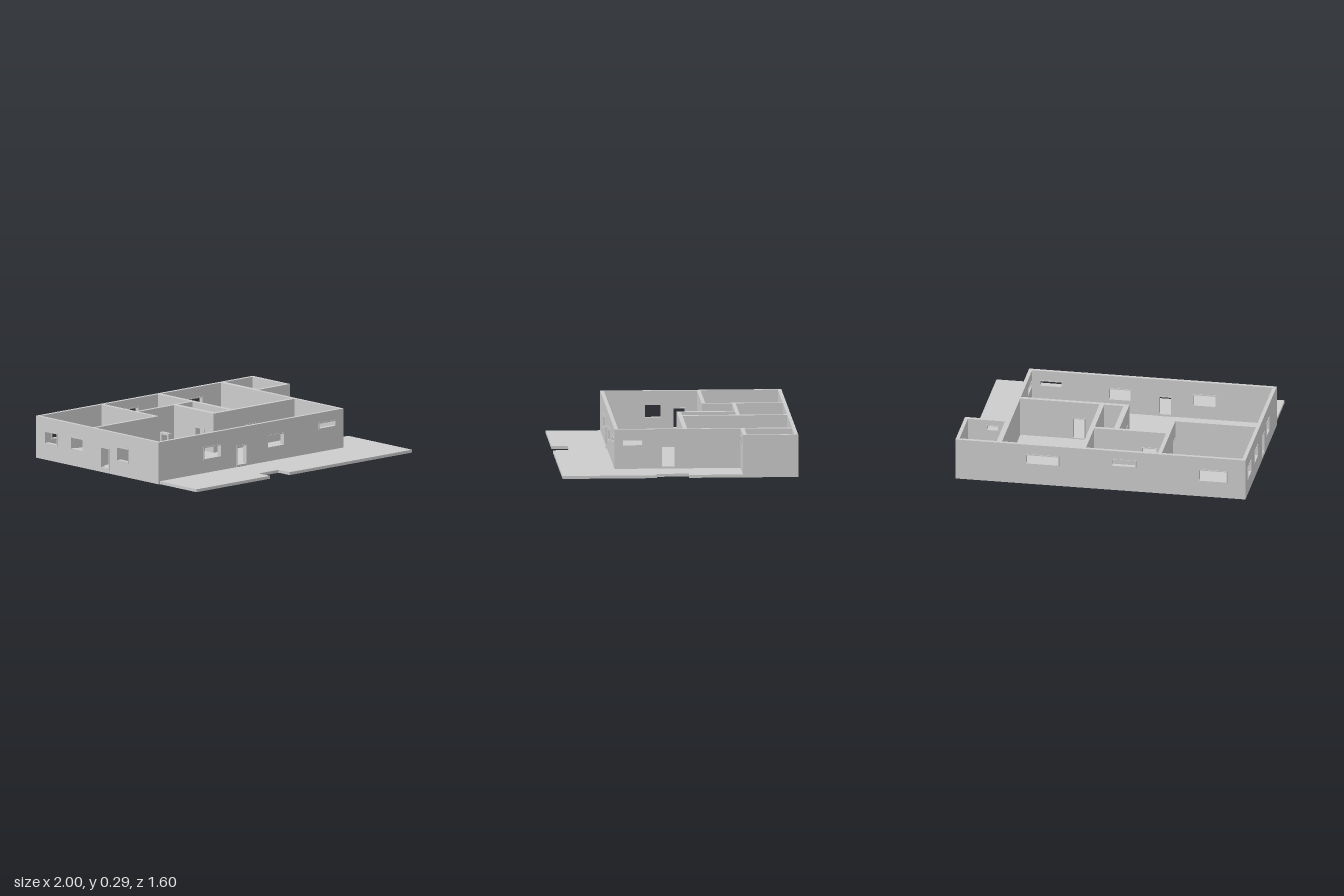
import * as THREE from 'three';

const FLOOR = 0.02, TOP = 0.29, T = 0.025;

export function createModel() {
  const model = new THREE.Group();
  const mat = new THREE.MeshStandardMaterial({ color: 0xcccccc, flatShading: true });

  const rect = (Kind, a, b, y0, y1) => {
    const r = new Kind();
    r.moveTo(a, y0); r.lineTo(b, y0); r.lineTo(b, y1); r.lineTo(a, y1); r.closePath();
    return r;
  };
  const extrude = (shape, depth) =>
    new THREE.ExtrudeGeometry(shape, { depth, bevelEnabled: false });
  const add = (parent, name, geo) => {
    const m = new THREE.Mesh(geo, mat);
    m.name = name;
    parent.add(m);
    return m;
  };

  // Frame ring around one opening, standing slightly proud of both wall faces
  function frame(parent, name, [a, b, y0, y1], depth) {
    const w = 0.007, out = 0.004;
    const ring = rect(THREE.Shape, a, b, y0, y1);
    ring.holes.push(rect(THREE.Path, a + w, b - w, y0 + w, y1 - w));
    add(parent, name, extrude(ring, depth + out * 2)).position.z = -out;
  }

  // Wall running along x or z from a to b; "at" is its lower edge on the other axis
  function wall(name, axis, a, b, at, openings = [], thick = T) {
    const g = new THREE.Group();
    g.name = name;
    const shape = rect(THREE.Shape, a, b, 0, TOP);
    for (const o of openings) {
      shape.holes.push(rect(THREE.Path, ...o));
      frame(g, o[2] <= FLOOR ? 'doorFrame' : 'windowFrame', o, thick);
    }
    add(g, 'wallPanel', extrude(shape, thick));
    if (axis === 'z') {
      g.rotation.y = -Math.PI / 2;
      g.position.x = at + thick;
    } else g.position.z = at;
    model.add(g);
  }
  const door = (a, b, h = 0.175) => [a, b, FLOOR, h];

  // Ground slab with a notch at the front and at the side
  const slab = new THREE.Shape([
    [-0.985, 0.798], [0.998, 0.798], [0.998, 0.06], [0.94, 0.06], [0.94, -0.16], [0.998, -0.16],
    [0.998, -0.8], [-0.13, -0.8], [-0.13, -0.69], [-0.31, -0.69], [-0.31, -0.8], [-0.985, -0.8],
  ].map(([x, y]) => new THREE.Vector2(x, y)));
  add(model, 'groundSlab', extrude(slab, FLOOR)).rotation.x = -Math.PI / 2;

  // Outer walls
  wall('frontWall', 'x', -0.996, 0.708, 0.405, [
    [-0.585, -0.42, 0.11, 0.2], door(-0.28, -0.185, 0.168),
    [0, 0.16, 0.11, 0.2], [0.475, 0.635, 0.175, 0.222],
  ]);
  wall('backWall', 'x', -0.996, 1, -0.8, [
    [-0.875, -0.67, 0.11, 0.2], [-0.245, -0.07, 0.175, 0.23], [0.285, 0.52, 0.145, 0.22],
  ]);
  wall('rightWall', 'z', -0.775, -0.055, -0.996, [
    [-0.71, -0.58, 0.11, 0.2], [-0.45, -0.32, 0.11, 0.2],
    [-0.15, -0.06, FLOOR, 0.175],
  ]);
  wall('rightWallFront', 'z', -0.055, 0.405, -0.996, [[0.012, 0.134, 0.1, 0.2]]);
  wall('leftWall', 'z', -0.43, 0.405, 0.683, [door(0.015, 0.115), [0.235, 0.38, 0.175, 0.222]]);

  // Side room at the back left corner
  wall('sideRoomInnerWall', 'z', -0.775, -0.43, 0.683, [], 0.037);
  wall('sideRoomFrontWall', 'x', 0.708, 1, -0.452, [[0.76, 0.85, 0.212, 0.256]], 0.027);
  wall('sideRoomOuterWall', 'z', -0.775, -0.452, 0.975);

  // Interior partitions
  wall('bedroomFrontWall', 'x', -0.971, -0.39, -0.25);
  wall('bedroomSideWall', 'z', -0.775, -0.25, -0.417, [door(-0.345, -0.26)], 0.027);
  wall('middleRoomWall', 'x', -0.39, 0.105, -0.455, [door(-0.33, -0.218)]);
  wall('centreWall', 'z', -0.775, -0.064, 0.105, [], 0.032);
  wall('closetSideWall', 'z', -0.43, -0.064, -0.064, [door(-0.22, -0.12)], 0.037);
  wall('largeRoomFrontWall', 'x', -0.064, 0.683, -0.064, [door(0.235, 0.325)], 0.029);

  // Door frame standing free in the hall
  const gate = rect(THREE.Shape, -0.187, -0.1, FLOOR, 0.19);
  gate.holes.push(rect(THREE.Path, -0.172, -0.115, FLOOR + 0.008, 0.175));
  const hall = add(model, 'hallDoorFrame', extrude(gate, 0.027));
  hall.rotation.y = -Math.PI / 2;
  hall.position.x = -0.39;

  // Thresholds at the outside doors
  const step = (x, z, w, d) =>
    add(model, 'threshold', new THREE.BoxGeometry(w, 0.015, d)).position.set(x, FLOOR + 0.0075, z);
  step(-0.2325, 0.418, 0.095, 0.035);
  step(0.695, 0.065, 0.035, 0.1);
  step(-0.983, -0.105, 0.03, 0.09);

  return model;
}
